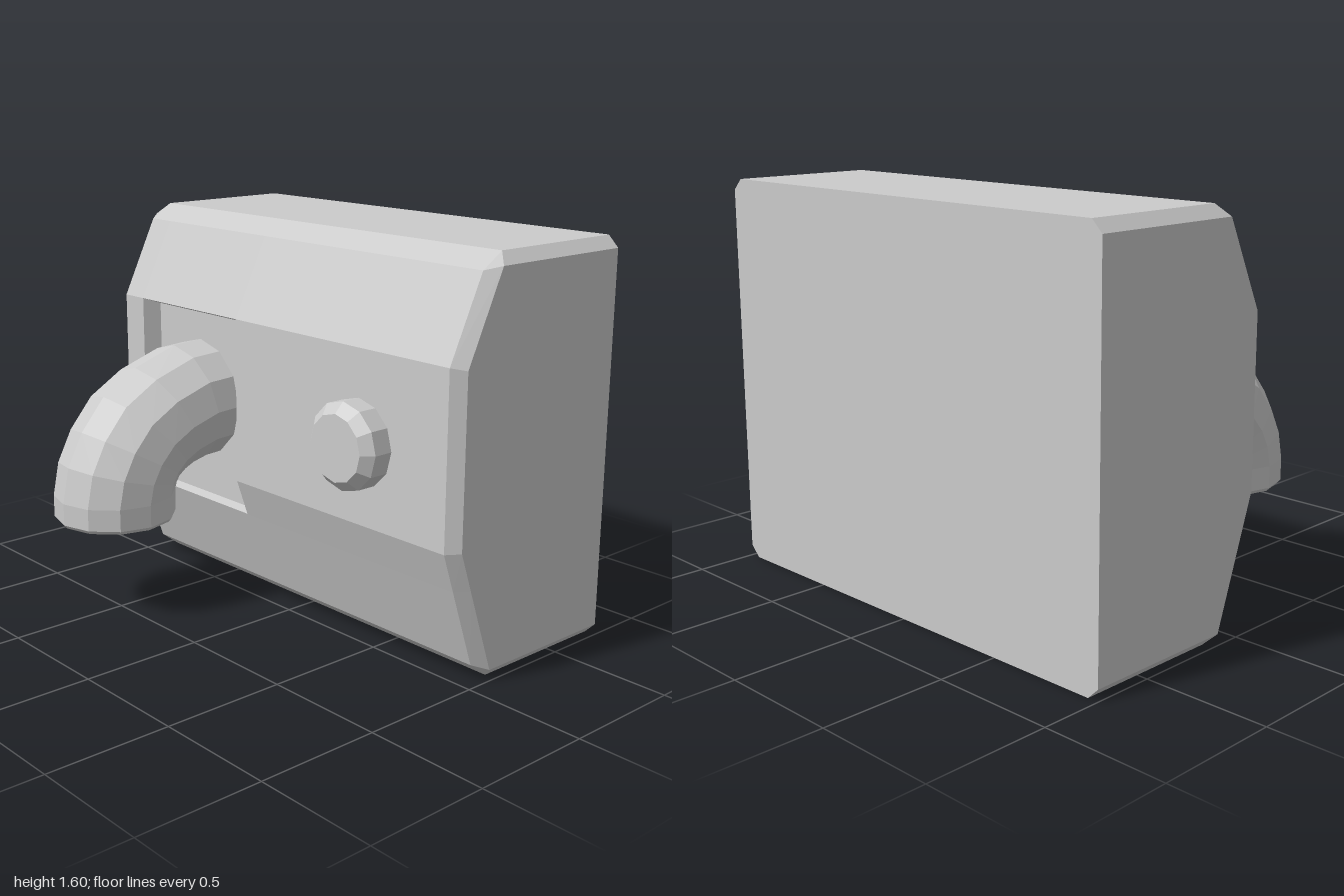
import * as THREE from 'three';

const material = new THREE.MeshStandardMaterial({ color: 0xcccccc, flatShading: true });
const openMaterial = new THREE.MeshStandardMaterial({ color: 0xcccccc, flatShading: true, side: THREE.DoubleSide });

// Mesh from convex polygons, corners counter-clockwise seen from outside
function polyMesh(name, polygons, mat) {
  const pos = [];
  for (const p of polygons) {
    for (let i = 1; i < p.length - 1; i++) {
      const t = new THREE.Triangle(p[0], p[i], p[i + 1]);
      if (t.getArea() > 1e-7) pos.push(...p[0].toArray(), ...p[i].toArray(), ...p[i + 1].toArray());
    }
  }
  const g = new THREE.BufferGeometry();
  g.setAttribute('position', new THREE.Float32BufferAttribute(pos, 3));
  g.computeVertexNormals();
  const mesh = new THREE.Mesh(g, mat);
  mesh.name = name;
  return mesh;
}

const V = (x, y, z) => new THREE.Vector3(x, y, z);

// Bevelled housing with a recessed panel in its front
function housing() {
  // [z, y] around the side outline, from back bottom over the front to back top
  const full = [[-0.75, 0], [-0.14, 0], [-0.055, 0.065], [0.056, 0.385], [0.11, 0.54],
    [0.11, 1.22], [-0.045, 1.54], [-0.14, 1.6], [-0.75, 1.6]];
  const end = [[-0.75, 0.045], [-0.11, 0.045], [-0.11, 0.045], [0.009, 0.385], [0.065, 0.545],
    [0.065, 1.21], [-0.1, 1.555], [-0.1, 1.555], [-0.75, 1.555]];
  const xs = [-1, -0.955, -0.83, -0.2, 0.955, 1];
  const sections = xs.map((x) => (Math.abs(x) === 1 ? end : full).map(([z, y]) => V(x, y, z)));
  const polygons = [[...sections[0]], [...sections[5]].reverse()];
  const n = full.length;
  for (let i = 0; i < xs.length - 1; i++) {
    for (let j = 0; j < n; j++) {
      if (i === 2 && (j === 3 || j === 4)) continue; // recess opening
      const k = (j + 1) % n, a = sections[i], b = sections[i + 1];
      polygons.push([a[j], b[j], b[k], a[k]]);
    }
  }
  // Sloping recess walls and back panel
  const [l, r] = [sections[2], sections[3]];
  const outer = [l[3], r[3], r[4], r[5], l[5], l[4]];
  const inner = [[-0.8, 0.41], [-0.228, 0.41], [-0.228, 0.54], [-0.228, 1.195], [-0.8, 1.195], [-0.8, 0.54]]
    .map(([x, y]) => V(x, y, 0.04));
  outer.forEach((p, i) => {
    const k = (i + 1) % 6;
    polygons.push([p, outer[k], inner[k], inner[i]]);
  });
  polygons.push(inner);
  return polyMesh('housing', polygons, material);
}

// Hollow elbow nozzle: rings spanning an outer and an inner bend point
function nozzle() {
  const sides = 12, cx = -0.52;
  // [outer z, outer y, inner z, inner y]
  const bend = [[0.03, 1.08, 0.03, 0.582], [0.18, 1.072, 0.11, 0.578], [0.38, 1.005, 0.17, 0.565],
    [0.54, 0.91, 0.205, 0.55], [0.65, 0.78, 0.23, 0.535], [0.72, 0.645, 0.242, 0.52],
    [0.75, 0.5, 0.25, 0.5], [0.75, 0.41, 0.25, 0.41]];
  const ring = ([oz, oy, iz, iy], s) => Array.from({ length: sides }, (_, i) => {
    const a = (i / sides) * Math.PI * 2, c = s * Math.cos(a) / 2;
    return V(cx + 0.25 * s * Math.sin(a), (oy + iy) / 2 + c * (oy - iy), (oz + iz) / 2 + c * (oz - iz));
  });
  const rings = bend.map((b) => ring(b, 1));
  // Bevelled rim, then back up the inside
  const rim = [0.75, 0.395, 0.25, 0.395];
  rings.push(ring(rim, 0.95), ring(rim, 0.83));
  for (const b of [...bend].reverse()) rings.push(ring(b, 0.8));
  const polygons = [];
  for (let i = 0; i < rings.length - 1; i++) {
    for (let j = 0; j < sides; j++) {
      const k = (j + 1) % sides;
      polygons.push([rings[i][j], rings[i + 1][j], rings[i + 1][k], rings[i][k]]);
    }
  }
  return polyMesh('nozzle', polygons, openMaterial);
}

// Round push button with a bevelled edge
function button() {
  const profile = [[0, 0], [0.172, 0], [0.172, 0.13], [0.131, 0.17], [0, 0.17]]
    .map(([x, y]) => new THREE.Vector2(x, y));
  const mesh = new THREE.Mesh(new THREE.LatheGeometry(profile, 12), material);
  mesh.name = 'button';
  mesh.rotation.x = Math.PI / 2;
  mesh.position.set(0.513, 0.86, 0.06);
  return mesh;
}

export function createModel() {
  const group = new THREE.Group();
  group.name = 'handDryer';
  group.add(housing(), nozzle(), button());
  return group;
}
